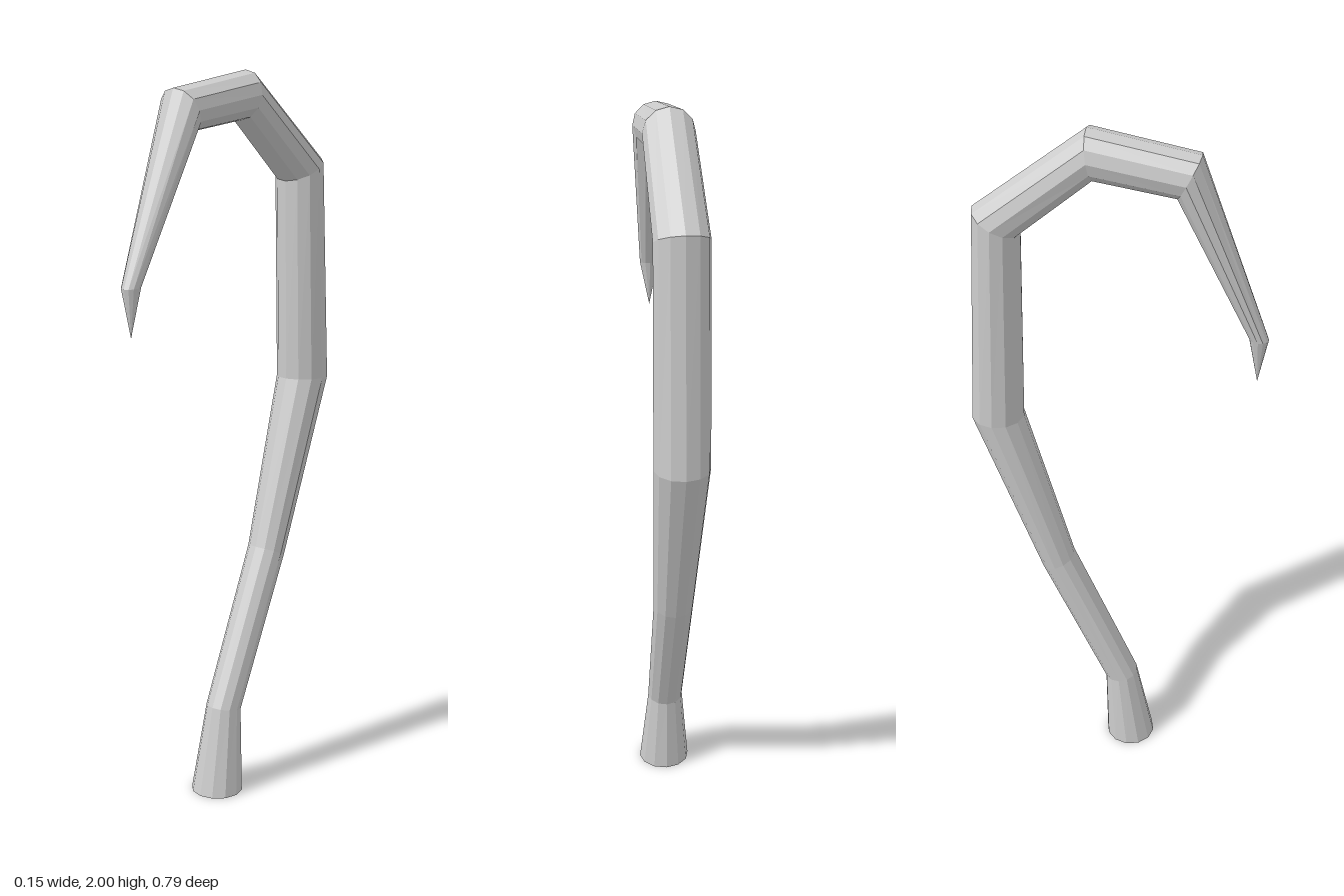
import * as THREE from 'three';

const SIDES = 12;

// Bends of the staff: [inner z, inner y, outer z, outer y, half width in x]
const RINGS = [
  [0.122, 0, -0.021, 0, 0.073],
  [0.069, 0.25, -0.026, 0.233, 0.05],
  [-0.118, 0.682, -0.21, 0.645, 0.055],
  [-0.249, 1.15, -0.393, 1.15, 0.073],
  [-0.238, 1.704, -0.36, 1.768, 0.07],
  [-0.048, 1.87, -0.068, 2.0, 0.066],
  [0.153, 1.843, 0.21, 1.953, 0.064],
  [0.344, 1.47, 0.395, 1.466, 0.026],
];
const TIP = [0, 1.34, 0.372];

// Elliptical rings mitred at each bend, joined by quads and closed at both ends
function hookGeometry() {
  const points = [];
  for (const [zi, yi, zo, yo, rx] of RINGS) {
    for (let i = 0; i < SIDES; i++) {
      const a = (i / SIDES) * Math.PI * 2;
      const t = (1 - Math.cos(a)) / 2;
      points.push(rx * Math.sin(a), yi + (yo - yi) * t, zi + (zo - zi) * t);
    }
  }
  const tip = RINGS.length * SIDES;
  const base = tip + 1;
  points.push(...TIP, 0, 0, (RINGS[0][0] + RINGS[0][2]) / 2);

  const index = [];
  const last = (RINGS.length - 1) * SIDES;
  for (let i = 0; i < SIDES; i++) {
    const j = (i + 1) % SIDES;
    for (let r = 0; r < last; r += SIDES) {
      const a = r + i, b = r + j, c = b + SIDES, d = a + SIDES;
      index.push(a, b, c, a, c, d);
    }
    index.push(last + i, last + j, tip); // pointed end
    index.push(base, j, i); // flat foot
  }

  const indexed = new THREE.BufferGeometry();
  indexed.setAttribute('position', new THREE.Float32BufferAttribute(points, 3));
  indexed.setIndex(index);
  const geometry = indexed.toNonIndexed();
  geometry.computeVertexNormals();
  return geometry;
}

export function createModel() {
  const group = new THREE.Group();
  group.name = 'hookedStaff';
  const material = new THREE.MeshStandardMaterial({ color: 0xcccccc, flatShading: true });
  const hook = new THREE.Mesh(hookGeometry(), material);
  hook.name = 'hook';
  group.add(hook);
  return group;
}
